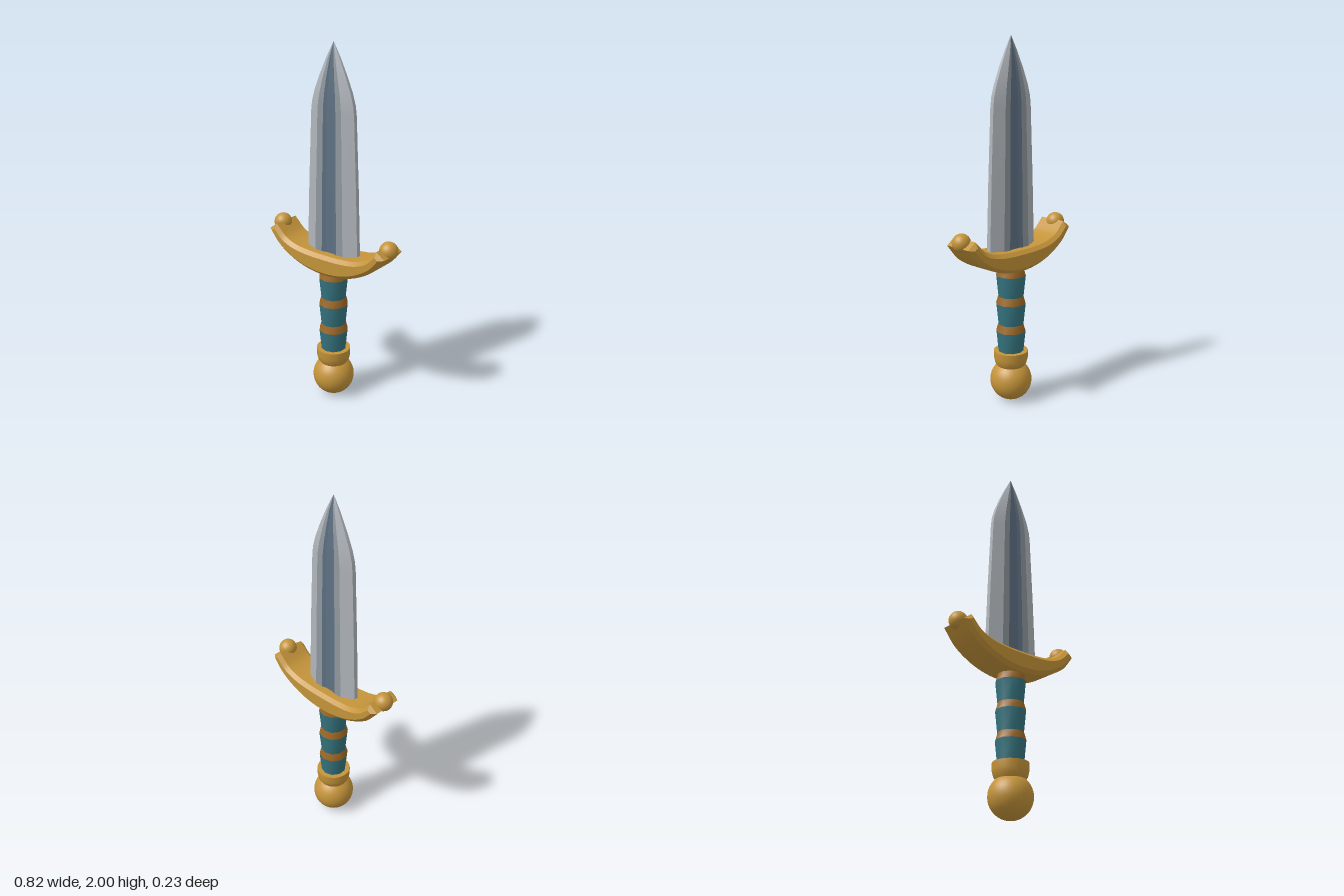
import * as THREE from 'three';
import { toCreasedNormals } from 'three/addons/utils/BufferGeometryUtils.js';

const material = (name, color) => {
  const m = new THREE.MeshStandardMaterial({ color });
  m.name = name;
  return m;
};

export function createModel() {
  const model = new THREE.Group();
  model.name = 'dagger';
  const gold = material('gold', 0xc4943a);
  const bronze = material('bronze', 0x9a6624);
  const teal = material('teal', 0x35747f);
  const steel = material('steel', 0xb0b5ba);
  const midSteel = material('midSteel', 0x8f979e);
  const slate = material('slate', 0x5f7183);

  const add = (name, geometry, mat, x = 0, y = 0, z = 0, parent = model) => {
    const mesh = new THREE.Mesh(geometry, mat);
    mesh.name = name;
    mesh.position.set(x, y, z);
    parent.add(mesh);
    return mesh;
  };

  // Blade: one grooved cross-section scaled along the length
  const half = [[1, 0.3], [0.55, 1], [0.29, 1], [0.15, 0.82], [-0.15, 0.82], [-0.29, 1], [-0.55, 1], [-1, 0.3]];
  const section = [...half, ...half.map(([x, z]) => [-x, -z])];
  // height, half width, half thickness
  const stations = [
    [0.84, 0.169, 0.043], [1.25, 0.155, 0.041], [1.64, 0.138, 0.038], [1.69, 0.132, 0.037],
    [1.75, 0.115, 0.034], [1.83, 0.083, 0.028], [1.92, 0.042, 0.017], [2, 0.0005, 0.0005],
  ];
  const blade = new THREE.Group();
  blade.name = 'blade';
  model.add(blade);
  const strips = (name, mat, sides) => {
    const positions = [];
    const point = (s, i) => {
      const [x, z] = section[i % section.length];
      return [x * s[1], s[0], z * s[2]];
    };
    for (const i of sides) {
      for (let k = 0; k < stations.length - 1; k++) {
        const a = point(stations[k], i), b = point(stations[k], i + 1);
        const c = point(stations[k + 1], i), d = point(stations[k + 1], i + 1);
        positions.push(...a, ...c, ...b, ...b, ...c, ...d);
      }
    }
    const g = new THREE.BufferGeometry();
    g.setAttribute('position', new THREE.Float32BufferAttribute(positions, 3));
    g.computeVertexNormals();
    add(name, toCreasedNormals(g, 0.25), mat, 0, 0, 0, blade);
  };
  strips('cuttingEdges', steel, [0, 6, 7, 8, 14, 15]);
  strips('bladeFlats', midSteel, [1, 5, 9, 13]);
  strips('fuller', slate, [2, 3, 4, 10, 11, 12]);

  // Upswept crossguard with bevelled rims
  const mirrored = (pts) => [...pts.map(([x, y]) => [-x, y]), ...pts.slice(0, -1).reverse()];
  const curve = (pts) => new THREE.CatmullRomCurve3(pts.map(([x, y]) => new THREE.Vector3(x, y, 0)))
    .getPoints(32).map((p) => new THREE.Vector2(p.x, p.y));
  const lower = curve(mirrored([[0.357, 0.943], [0.3, 0.878], [0.2, 0.82], [0.1, 0.79], [0, 0.781]]));
  const upper = curve(mirrored([[0.338, 0.957], [0.28, 0.903], [0.2, 0.872], [0.1, 0.86], [0, 0.858]])).reverse();
  const guard = new THREE.ExtrudeGeometry(new THREE.Shape([...lower, ...upper]), {
    depth: 0.16, bevelThickness: 0.02, bevelSize: 0.02, bevelSegments: 1,
  });
  guard.translate(0, 0, -0.08);
  add('crossguard', toCreasedNormals(guard, 0.5), gold);
  for (const side of [-1, 1]) {
    add(side > 0 ? 'leftFinial' : 'rightFinial', new THREE.SphereGeometry(0.05, 24, 16), gold, side * 0.358, 0.968);
  }

  // Grip: flared wraps between bronze bands
  const frustum = (name, top, bottom, rTop, rBottom, mat) => add(
    name, toCreasedNormals(new THREE.CylinderGeometry(rTop, rBottom, top - bottom, 10), 0.8),
    mat, 0, (top + bottom) / 2);
  for (const [i, top] of [0.725, 0.565, 0.405].entries()) {
    frustum(`gripBand${i + 1}`, top + 0.042, top, 0.07, 0.082, bronze);
    frustum(`gripWrap${i + 1}`, top, top - 0.118, 0.082, 0.07, teal);
  }

  // Pommel with its collar
  const collar = [[0, 0.2], [0.075, 0.2], [0.088, 0.22], [0.095, 0.25], [0.095, 0.29], [0.065, 0.29], [0, 0.285]];
  add('pommelCollar', toCreasedNormals(
    new THREE.LatheGeometry(collar.map(([r, y]) => new THREE.Vector2(r, y)), 24), 0.6), gold);
  add('pommel', new THREE.SphereGeometry(0.116, 32, 20), gold, 0, 0.118);

  return model;
}
